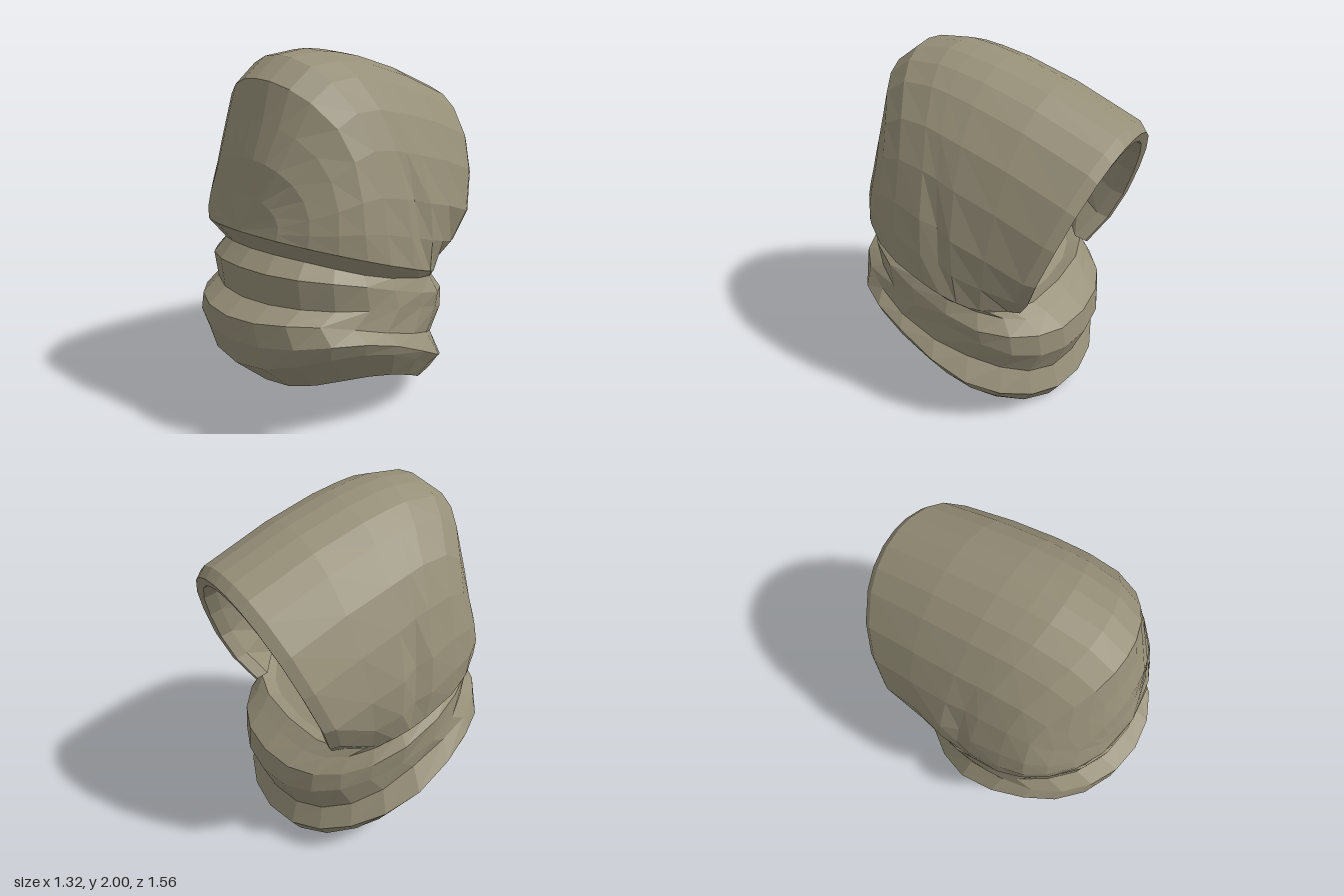
import * as THREE from 'three';

const cloth = new THREE.MeshStandardMaterial({ color: 0x968f78, side: THREE.DoubleSide });
cloth.name = 'drab cloth';

// Faceted surface through rows of points, all rows the same length
function sheet(name, rows) {
  const pos = [];
  const quad = (a, b, c, d) => [a, b, c, a, c, d].forEach(p => pos.push(p.x, p.y, p.z));
  for (let r = 0; r < rows.length - 1; r++) {
    for (let c = 0; c < rows[r].length - 1; c++) {
      quad(rows[r][c], rows[r][c + 1], rows[r + 1][c + 1], rows[r + 1][c]);
    }
  }
  const geo = new THREE.BufferGeometry();
  geo.setAttribute('position', new THREE.Float32BufferAttribute(pos, 3));
  geo.computeVertexNormals();
  const mesh = new THREE.Mesh(geo, cloth);
  mesh.name = name;
  return mesh;
}

// Tilted neck rings: back z, back y, face-side z, face-side y, half width,
// lift at the sides, squareness towards the face (1 = round)
const RINGS = [
  [0.53, 0.25, -0.45, 0.00, 0.55, 0.17, 0.95],
  [0.73, 0.43, -0.53, 0.02, 0.63, 0.23, 1],
  [0.77, 0.58, -0.60, 0.14, 0.66, 0.14, 0.95],
  [0.78, 0.71, -0.55, 0.28, 0.59, 0.10, 0.9],
  [0.67, 0.78, -0.62, 0.46, 0.59, 0.06, 0.9],
  [0.69, 0.95, -0.60, 0.60, 0.59, 0.02, 0.85],
  [0.61, 1.03, -0.50, 0.68, 0.55, 0.01, 0.75],
  [0.69, 1.14, -0.43, 0.74, 0.61, 0.01, 0.72],
  [0.58, 1.10, -0.36, 0.72, 0.53, 0.01, 0.72],
];

function ringPoint(i, a) {
  const [bz, by, fz, fy, w, lift, square] = RINGS[i];
  const s = Math.sin(a), c = Math.cos(a);
  const e = c < 0 ? square : 0.95;
  const cs = Math.sign(c) * Math.abs(c) ** e;
  const x = w * Math.sign(s) * Math.abs(s) ** e;
  // uneven folds, fading out at the hood seam and the base
  const k = i > 1 && i < 7 ? 0.018 * s * s : 0;
  return new THREE.Vector3(
    x * (1 + k * Math.sin(5 * a + i * 2)),
    (by + fy) / 2 + (by - fy) / 2 * cs + lift * s * s * (1 + 0.5 * c) + k * Math.sin(3 * a + i * 2.3),
    (bz + fz) / 2 + (bz - fz) / 2 * cs);
}

const SEG = 22;
const ring = i => Array.from({ length: SEG + 1 }, (_, j) => ringPoint(i, (j / SEG) * Math.PI * 2));
const centre = (y, z) => Array.from({ length: SEG + 1 }, () => new THREE.Vector3(0, y, z));

// Hood arches: seam angle in degrees, top z, top y, half width, side pleat,
// sweep of the sides towards the face, exponent placing that sweep low (<1) or high (>1)
const ARCHES = [
  [145, -0.735, 1.76, 0.57, 0, 0.035, 0.5],
  [126, -0.37, 1.89, 0.585, 0, 0.02, 0.7],
  [112, -0.08, 1.965, 0.59, 0.01, 0, 1],
  [103, 0.08, 1.99, 0.585, -0.02, 0.02, 1.6],
  [95, 0.20, 2.00, 0.58, 0.01, 0.05, 1.6],
  [82, 0.40, 1.975, 0.57, 0, 0.09, 1.6],
  [68, 0.54, 1.87, 0.55, 0, 0.11, 1.6],
  [53, 0.58, 1.68, 0.49, 0, 0.08, 1.4],
  [38, 0.63, 1.50, 0.39, 0, 0.05, 1.2],
  [22, 0.65, 1.32, 0.25, 0, 0.02, 1],
  [0, 0.69, 1.14, 0, 0, 0, 1],
];

// Half profile of an arch: height fraction, width fraction
const PROFILE = [[0, 1], [0.16, 1], [0.34, 0.97], [0.56, 0.87], [0.74, 0.73],
  [0.88, 0.53], [0.95, 0.36], [0.99, 0.17]];

function arch([deg, tz, ty, w, pleat, sweep, e]) {
  const base = ringPoint(7, THREE.MathUtils.degToRad(deg));
  // the right side sags outwards a little, most towards the face
  const sag = 0.035 * deg / 145;
  const half = (side, slack) => PROFILE.map(([s, f]) => {
    const wide = THREE.MathUtils.lerp(base.x, w, Math.sin(Math.PI / 2 * Math.min(1, s / 0.45)));
    const fold = pleat * Math.sin(Math.PI * Math.min(1, s / 0.6));
    const x = f * wide + fold + slack * Math.sin(Math.PI * Math.sqrt(s));
    return new THREE.Vector3(side * x, THREE.MathUtils.lerp(base.y, ty, s),
      THREE.MathUtils.lerp(base.z, tz, s) - sweep * Math.sin(Math.PI * s ** e));
  });
  return [...half(1, 0), new THREE.Vector3(0, ty, tz), ...half(-1, sag).reverse()];
}

// Shrinks an arch towards the middle of the head, then shifts it
const inset = (row, k, dy = 0, dz = 0) => row.map(p => new THREE.Vector3(
  p.x * k, 1.2 + (p.y - 1.2) * k + dy, (p.z + 0.05) * k - 0.05 + dz));

export function createModel() {
  const group = new THREE.Group();
  group.name = 'hood';

  // Hood shell, its rolled face rim and its lining
  const outer = ARCHES.map(arch);
  const inner = outer.map(row => inset(row, 0.92));
  const lip = inset(outer[0], 0.95, -0.02, -0.075);
  const innerLip = inset(outer[0], 0.875, -0.03, -0.1);
  const innerRim = inset(outer[0], 0.875, -0.02, -0.03);
  group.add(sheet('hoodShell', outer));
  group.add(sheet('faceRim', [inner[1], innerRim, innerLip, lip, outer[0]]));
  group.add(sheet('hoodLining', inner.slice(1).reverse()));

  // Neck wrap with its folds, closed below and inside
  const rows = RINGS.map((_, i) => ring(i));
  group.add(sheet('neckBase', [centre(0.21, 0.12), rows[0]]));
  group.add(sheet('lowerRoll', rows.slice(0, 4)));
  group.add(sheet('neckFolds', rows.slice(3, 8)));
  group.add(sheet('neckLining', [rows[7], rows[8], centre(0.84, 0.1)]));

  return group;
}
